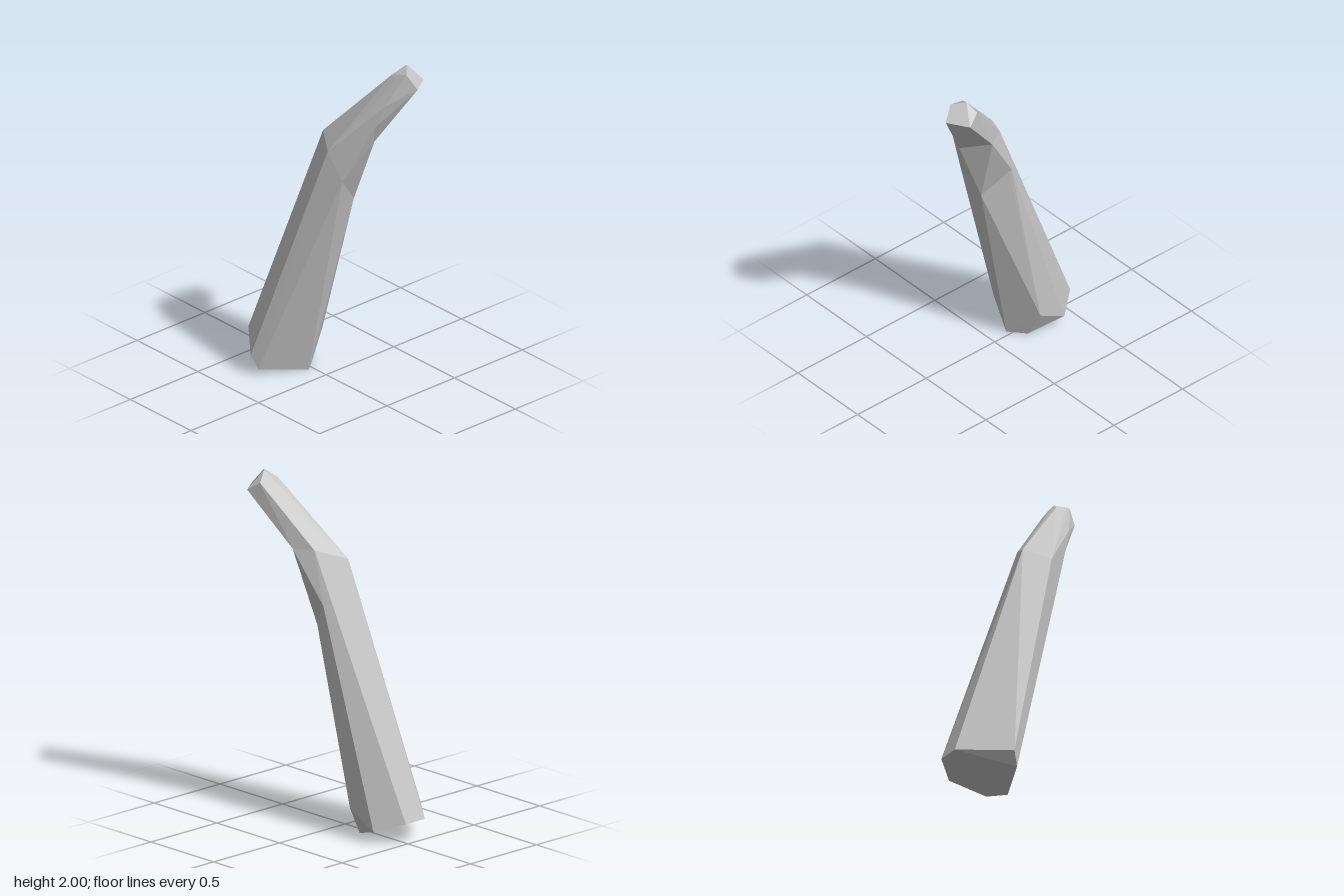
import * as THREE from 'three';
import { ConvexGeometry } from 'three/addons/geometries/ConvexGeometry.js';

const v = ([x, y, z]) => new THREE.Vector3(x, y, z);

export function createModel() {
  const group = new THREE.Group();
  group.name = 'bentHorn';
  const grey = new THREE.MeshStandardMaterial({ color: 0xc4c4c4, flatShading: true });
  grey.name = 'plain grey';

  // Cut foot of the shaft, with a chamfered front corner and back corner
  const foot = [
    [-0.53, 0.13, 0.10], [-0.52, 0.125, -0.035], [-0.38, 0.075, -0.148],
    [-0.185, 0.003, -0.065], [-0.11, 0, 0.03], [-0.24, 0.04, 0.285],
    [-0.277, 0.12, 0.31], [-0.2, 0.17, -0.154],
  ];
  // Outer side of the bend
  const outerBend = [[0, 1.525, 0.023], [0.135, 1.475, 0.11], [0.09, 1.59, -0.148]];
  // Inner side of the bend: where it starts and where it ends
  const innerLow = [[0.01, 1.29, -0.157], [0.155, 1.13, -0.065], [0.2, 1.29, 0.06]];
  const innerHigh = [[0.2, 1.59, -0.21], [0.32, 1.545, -0.07], [0.345, 1.64, -0.04]];
  // Faceted tip
  const tip = [
    [0.53, 1.9, -0.2], [0.47, 1.98, -0.17], [0.407, 2, -0.23], [0.378, 1.945, -0.287],
    [0.452, 1.895, -0.315], [0.37, 1.95, -0.156], [0.42, 1.94, -0.145], [0.4, 1.79, -0.08],
  ];

  // Each segment is a faceted solid between neighbouring cross-sections
  const segments = {
    lowerShaft: [foot, outerBend, innerLow],
    bend: [innerLow, outerBend, innerHigh],
    upperShaft: [innerHigh, outerBend, tip],
  };
  for (const [name, rings] of Object.entries(segments)) {
    const mesh = new THREE.Mesh(new ConvexGeometry(rings.flat().map(v)), grey);
    mesh.name = name;
    group.add(mesh);
  }
  return group;
}
